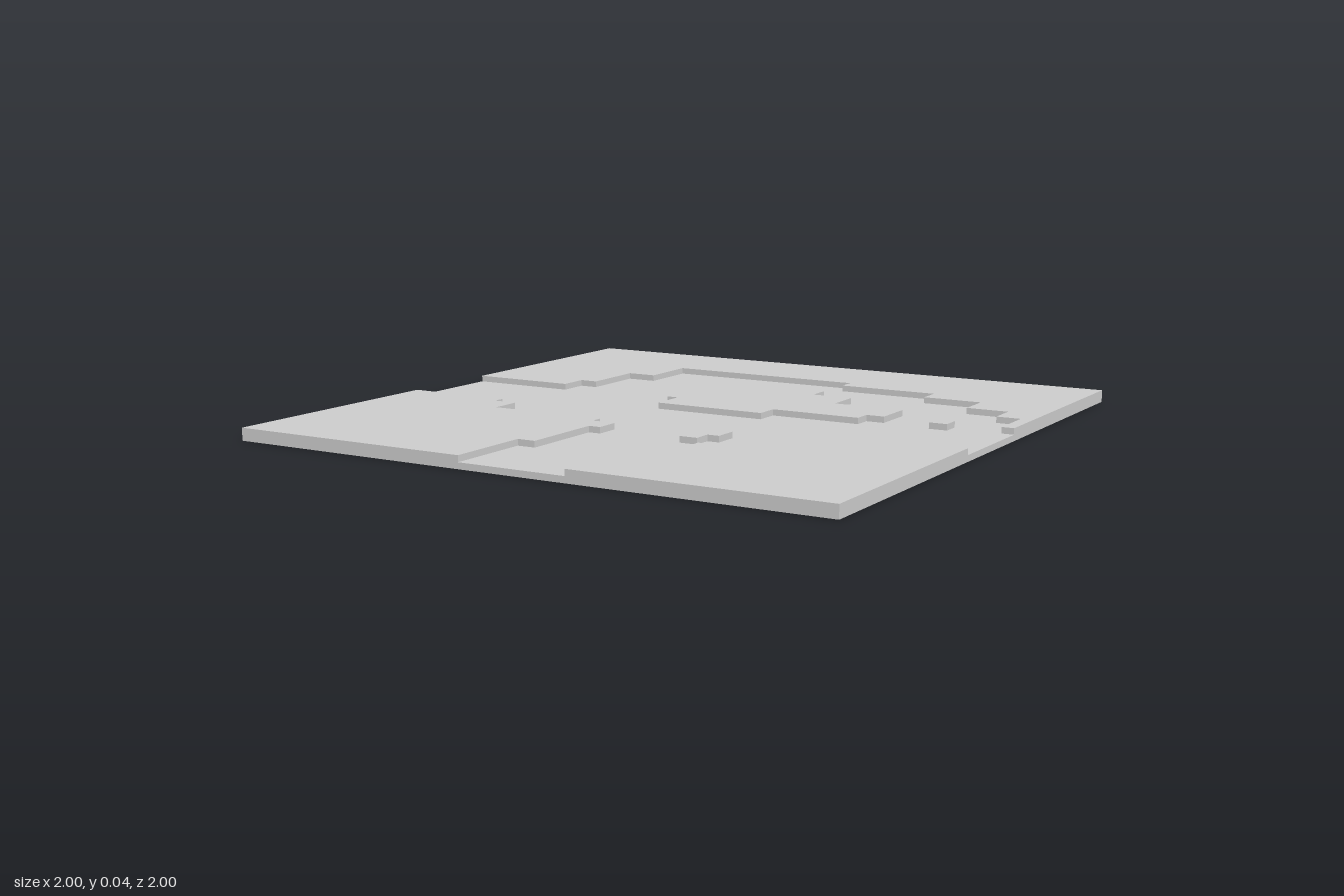
import * as THREE from 'three';

const STEP = 0.02; // thickness of the base and of each raised layer
const material = new THREE.MeshStandardMaterial({ color: 0xcccccc, flatShading: true });

// Stepped outline: start at a corner, then alternate x and z moves to absolute positions
function steppedOutline(x, z, moves, alongX = true) {
  const points = [new THREE.Vector2(x, -z)];
  for (const value of moves) {
    if (alongX) x = value;
    else z = value;
    alongX = !alongX;
    points.push(new THREE.Vector2(x, -z));
  }
  return points;
}

// Raised layer lying on the base
function raisedLayer(name, outline) {
  const geometry = new THREE.ExtrudeGeometry(new THREE.Shape(outline), { depth: STEP, bevelEnabled: false });
  geometry.rotateX(-Math.PI / 2);
  const mesh = new THREE.Mesh(geometry, material);
  mesh.name = name;
  mesh.position.y = STEP;
  return mesh;
}

export function createModel() {
  const group = new THREE.Group();
  group.name = 'riverTile';

  // Base slab, its top is the water bed
  const base = new THREE.Mesh(new THREE.BoxGeometry(2, STEP, 2), material);
  base.name = 'riverBed';
  base.position.y = STEP / 2;
  group.add(base);

  // Banks around the pond
  group.add(raisedLayer('backBank', steppedOutline(-1, -0.18, [
    -0.64, -0.28, -0.58, -0.5, -0.48, -0.7, 0.2, -0.64, 0.54, -0.56,
    0.74, -0.44, 0.88, -0.34, 0.96, -0.18, 1, -1, -1,
  ])));
  group.add(raisedLayer('frontRightBank', steppedOutline(-1, 0.18, [
    -0.64, 0.22, -0.56, 0.32, -0.16, 0.36, -0.08, 0.44, -0.12, 0.72, -0.18, 1, -1,
  ])));
  group.add(raisedLayer('frontLeftBank', steppedOutline(1, 0.18, [
    0.94, 0.24, 0.52, 0.3, 0.42, 0.5, 0.3, 0.56, 0.2, 0.72, 0.18, 1, 1,
  ])));

  // Islands
  group.add(raisedLayer('mainIsland', steppedOutline(-0.08, -0.5, [
    0.2, -0.42, 0.34, -0.3, 0.58, -0.16, 0.52, -0.1, 0.22, -0.02,
    -0.16, -0.14, -0.2, -0.28, -0.08,
  ])));
  group.add(raisedLayer('smallIsland', steppedOutline(0.74, -0.2, [0.8, -0.14, 0.74])));
  group.add(raisedLayer('steppedIsland', steppedOutline(0.24, 0.3, [
    0.3, 0.38, 0.26, 0.44, 0.2, 0.36, 0.24,
  ])));

  return group;
}
